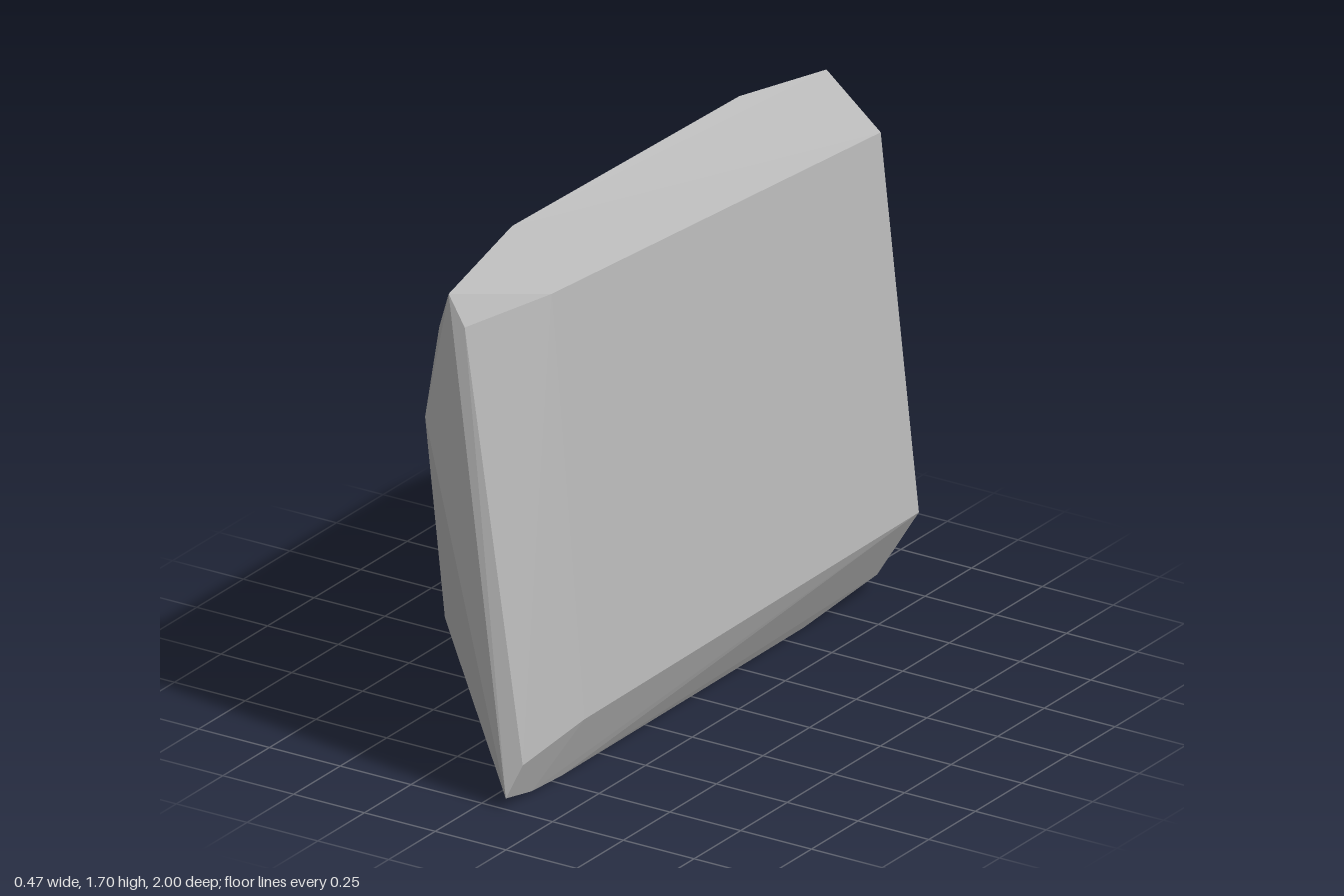
import * as THREE from 'three';
import { ConvexGeometry } from 'three/addons/geometries/ConvexGeometry.js';

// Cross-sections of the slab from back to front: z, then x, y pairs.
const sections = [
  // back end: flat side corners and the bulge of the end face
  [-0.99, 0.1, 1.46, 0.235, 0.27],
  [-1.0, 0.053, 0.78],
  // back rim
  [-0.945, -0.062, 1.64, -0.135, 1.37, -0.167, 1.13, -0.113, 0.625, 0.117, 0.058],
  // curved side, rounding in toward the back
  [-0.77, -0.178, 1.4, -0.205, 1.12, -0.182, 0.72],
  [-0.55, -0.11, 1.686, -0.224, 1.2, -0.222, 0.88, -0.2, 0.7],
  [-0.6, 0.085, 0.005, -0.06, 0.26],
  [-0.27, -0.201, 1.42, -0.236, 1.22, -0.236, 0.92, -0.217, 0.735, -0.152, 0.52],
  // front shoulder: ridges and flat side corners
  [0.64, -0.13, 1.695, 0.01, 1.51],
  [0.7, 0.165, 0.2, 0.085, 0, -0.07, 0.25],
  [0.8, -0.236, 1.26, -0.236, 0.9, -0.217, 0.735, -0.155, 0.52],
  [0.86, 0.085, 0.008],
  // front end panel
  [0.97, -0.08, 1.5, 0.125, 0.14, -0.22, 1.18, -0.17, 1.48, -0.15, 0.55],
  [0.98, -0.13, 1.6],
  [1.0, 0.085, 0.035],
];

export function createModel() {
  const stone = new THREE.MeshStandardMaterial({ color: 0xb8b8b8 });
  stone.name = 'stone grey';

  const points = [];
  for (const [z, ...xy] of sections) {
    for (let i = 0; i < xy.length; i += 2) points.push(new THREE.Vector3(xy[i], xy[i + 1], z));
  }

  // The faceted slab is the hull around its sections
  const slab = new THREE.Mesh(new ConvexGeometry(points), stone);
  slab.name = 'stoneSlab';

  const model = new THREE.Group();
  model.name = 'rock';
  model.add(slab);
  return model;
}
